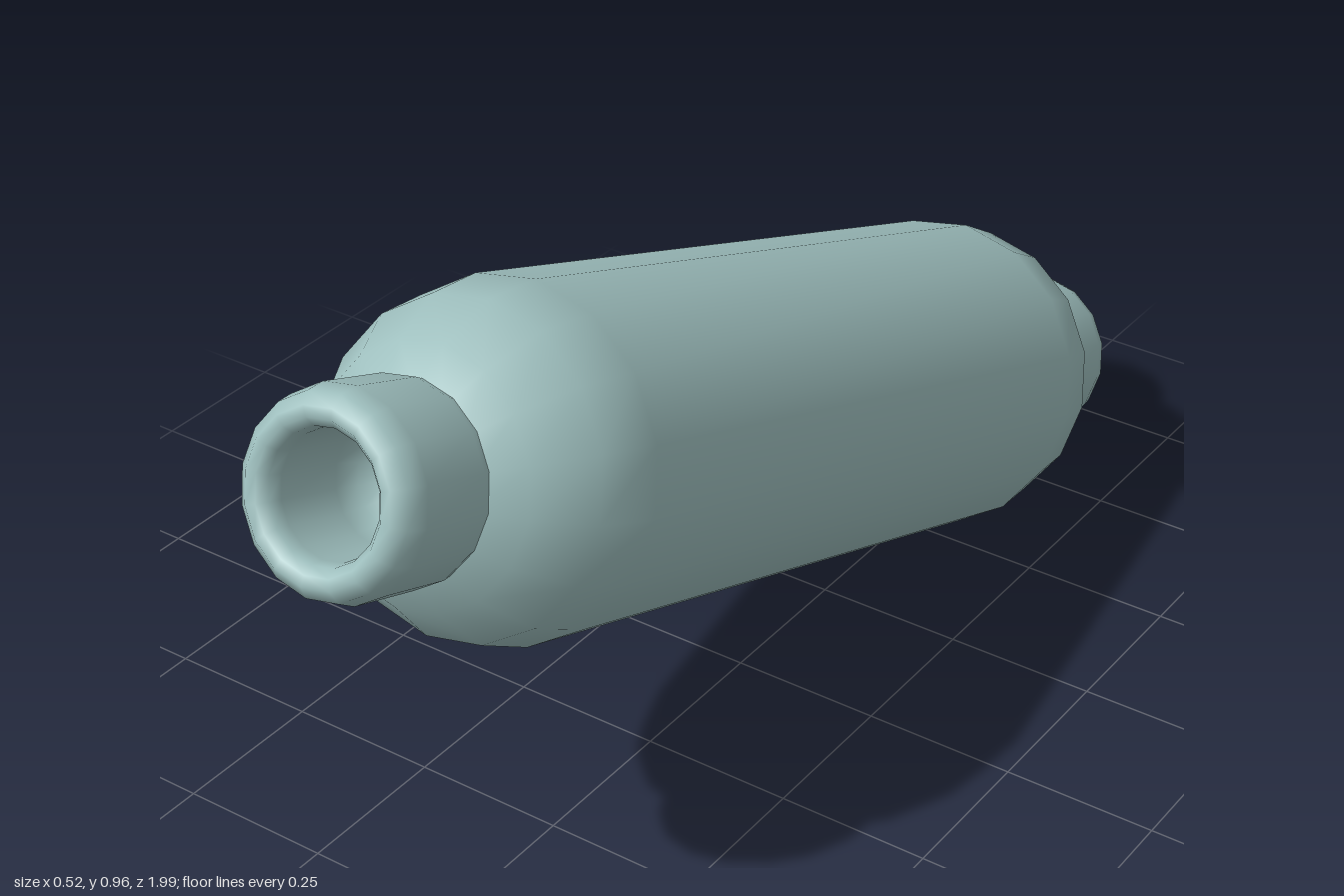
import * as THREE from 'three';

const SIDES = 16;
const TILT = THREE.MathUtils.degToRad(20.5);
const material = new THREE.MeshStandardMaterial({ color: 0x9fc0bf, side: THREE.DoubleSide });

function lathe(name, points) {
  const profile = points.map(([r, y]) => new THREE.Vector2(r, y));
  const mesh = new THREE.Mesh(new THREE.LatheGeometry(profile, SIDES), material);
  mesh.name = name;
  return mesh;
}

export function createModel() {
  const model = new THREE.Group();
  model.name = 'tiltedCapsule';

  // Everything is turned around one axis, then tilted with its front end up
  const axis = new THREE.Group();
  axis.name = 'capsuleAssembly';
  axis.rotation.x = Math.PI / 2 - TILT;
  axis.position.y = 0.483;
  model.add(axis);

  // Long body with coarse rounded shoulders, ending inside the necks
  const shoulder = [[0.26, 0.62], [0.24, 0.72], [0.184, 0.804], [0.125, 0.848]];
  const lower = shoulder.map(([r, y]) => [r, -y]).reverse();
  axis.add(lathe('body', [...lower, ...shoulder]));

  // Hollow neck: outer wall, rounded rim, bore, funnel floor and small hole
  const neck = [
    [0.136, 0.815], [0.145, 0.85], [0.146, 0.97], [0.138, 1.0], [0.12, 1.015],
    [0.104, 1.013], [0.092, 1.0], [0.088, 0.98], [0.088, 0.87],
    [0.078, 0.835], [0.055, 0.81], [0.032, 0.8], [0.026, 0.785], [0.024, 0.74], [0, 0.74],
  ];
  const frontNeck = lathe('frontNeck', neck);
  const backNeck = lathe('backNeck', neck);
  backNeck.rotation.x = Math.PI;
  axis.add(frontNeck, backNeck);

  return model;
}
